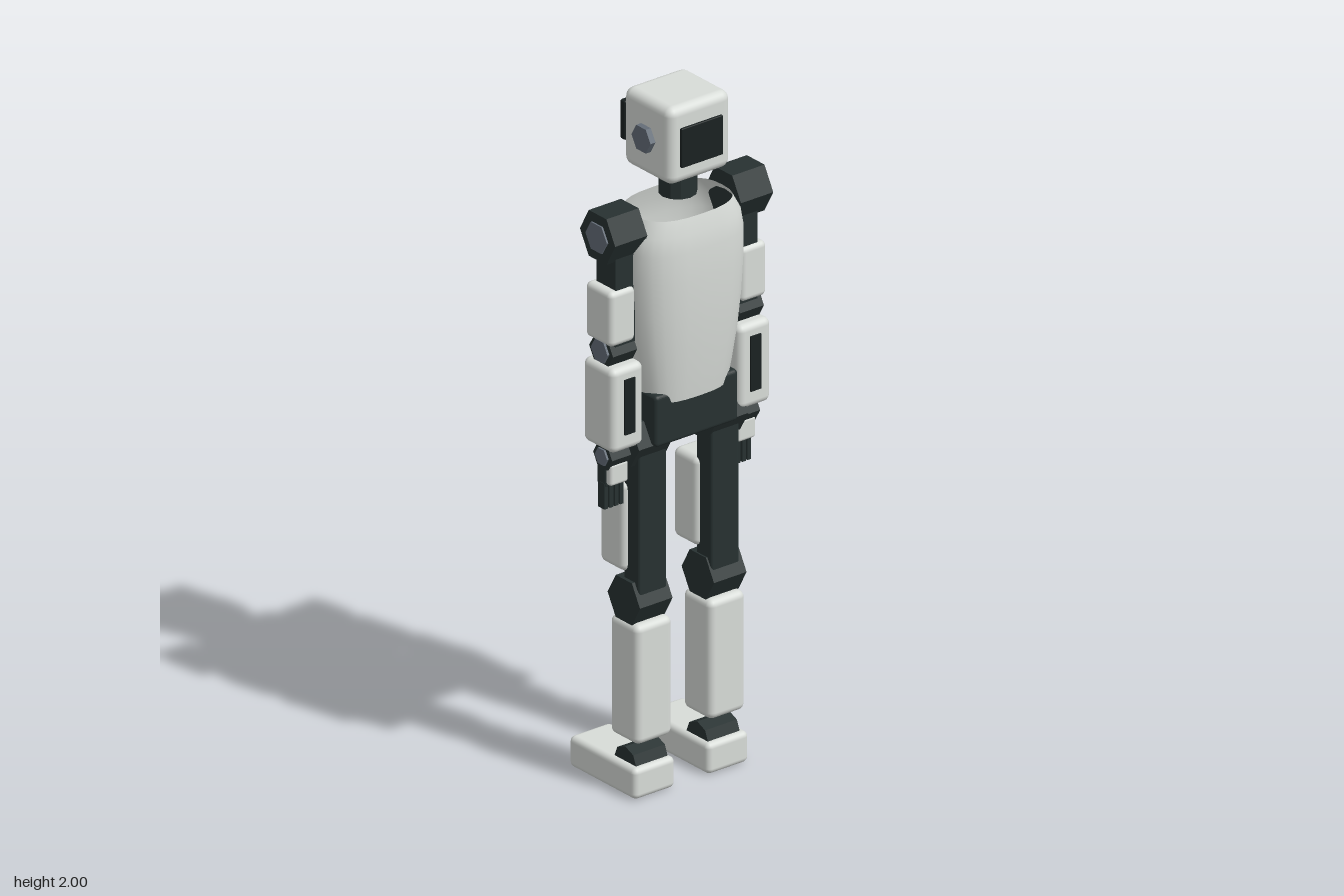
import * as THREE from 'three';
import { RoundedBoxGeometry } from 'three/addons/geometries/RoundedBoxGeometry.js';

const mat = (name, color, extra = {}) => {
  const m = new THREE.MeshStandardMaterial({ color, ...extra });
  m.name = name;
  return m;
};

export function createModel() {
  const white = mat('white shell', 0xd8dcd8, { side: THREE.DoubleSide });
  const dark = mat('dark joint', 0x273131, { flatShading: true });
  const black = mat('black panel', 0x1a2121);
  const steel = mat('blue grey cap', 0x646d78, { flatShading: true });
  const purple = mat('purple light', 0x7350b0);

  const root = new THREE.Group();
  root.name = 'robot';

  const add = (parent, name, geo, material, x = 0, y = 0, z = 0) => {
    const m = new THREE.Mesh(geo, material);
    m.name = name;
    m.position.set(x, y, z);
    parent.add(m);
    return m;
  };
  // box given by its limits on each axis, rounded when r > 0
  const box = (parent, name, material, [x0, x1], [y0, y1], [z0, z1], r = 0) => {
    const s = [x1 - x0, y1 - y0, z1 - z0];
    const geo = r ? new RoundedBoxGeometry(...s, 3, r) : new THREE.BoxGeometry(...s);
    return add(parent, name, geo, material, (x0 + x1) / 2, (y0 + y1) / 2, (z0 + z1) / 2);
  };
  // six-sided drum lying along x
  const drum = (parent, name, material, [x0, x1], y, z, r, sides = 6) => {
    const geo = new THREE.CylinderGeometry(r, r, x1 - x0, sides).rotateZ(Math.PI / 2);
    return add(parent, name, geo, material, (x0 + x1) / 2, y, z);
  };

  // head with visor, eyes, brow light and rear plate
  const head = new THREE.Group();
  head.name = 'head';
  root.add(head);
  box(head, 'headShell', white, [-0.105, 0.105], [1.775, 2], [-0.055, 0.145], 0.026);
  box(head, 'visor', black, [-0.1, 0.1], [1.84, 1.955], [-0.072, -0.05], 0.006);
  box(head, 'rearPlate', black, [-0.07, 0.07], [1.825, 1.94], [0.14, 0.152], 0.003);
  box(head, 'browLight', purple, [-0.045, 0.045], [1.95, 1.962], [-0.075, -0.066]);
  for (const s of [-1, 1]) {
    const ring = new THREE.CylinderGeometry(0.02, 0.02, 0.012, 12).rotateX(Math.PI / 2);
    add(head, 'eyeRing', ring, steel, s * 0.05, 1.9, -0.077);
    const eye = new THREE.CylinderGeometry(0.014, 0.014, 0.008, 12).rotateX(Math.PI / 2);
    add(head, 'eye', eye, purple, s * 0.05, 1.9, -0.087);
    const ear = drum(head, 'ear', steel, [-0.01, 0.01], 1.887, 0.045, 0.04);
    ear.position.x = s * 0.112;
  }
  add(root, 'neck', new THREE.CylinderGeometry(0.052, 0.052, 0.08, 12), dark, 0, 1.74, 0.048);

  // torso: open shell lofted through rounded cross-sections
  // rows: height, half width, back z, front z
  const rows = [
    [1.14, 0.135, -0.033, 0.142], [1.2, 0.147, -0.042, 0.15], [1.3, 0.165, -0.058, 0.16],
    [1.4, 0.177, -0.071, 0.167], [1.5, 0.184, -0.078, 0.17], [1.58, 0.184, -0.075, 0.169],
    [1.63, 0.175, -0.067, 0.164], [1.675, 0.15, -0.055, 0.153],
  ];
  const N = 28, pos = [], idx = [];
  const soft = (v) => Math.sign(v) * Math.abs(v) ** 0.75;
  rows.forEach(([y, w, z0, z1], j) => {
    for (let i = 0; i < N; i++) {
      const a = (i / N) * Math.PI * 2;
      pos.push(w * soft(Math.sin(a)), y, (z0 + z1) / 2 + ((z1 - z0) / 2) * soft(Math.cos(a)));
      if (j === 0) continue;
      const k = (i + 1) % N, b = (j - 1) * N, t = j * N;
      idx.push(b + i, b + k, t + k, b + i, t + k, t + i);
    }
  });
  const shell = new THREE.BufferGeometry();
  shell.setAttribute('position', new THREE.Float32BufferAttribute(pos, 3));
  shell.setIndex(idx);
  shell.computeVertexNormals();
  add(root, 'torso', shell, white);
  box(root, 'chestPanel', black, [-0.078, 0.078], [1.43, 1.595], [-0.1, -0.085], 0.004);
  box(root, 'pelvis', dark, [-0.14, 0.14], [1.02, 1.17], [-0.035, 0.13], 0.012);

  // limbs are laid out on the left (+x) and repeated on the right
  for (const s of [1, -1]) {
    const side = s > 0 ? 'left' : 'right';
    const X = (a, b) => (s > 0 ? [a, b] : [-b, -a]);
    const arm = new THREE.Group();
    arm.name = side + 'Arm';
    const leg = new THREE.Group();
    leg.name = side + 'Leg';
    root.add(arm, leg);

    // arm
    drum(arm, 'shoulder', dark, X(0.158, 0.267), 1.643, 0.043, 0.074).scale.y = 1.04;
    drum(arm, 'shoulderCap', steel, X(0.262, 0.272), 1.643, 0.043, 0.045);
    box(arm, 'upperArmCore', dark, X(0.175, 0.24), [1.33, 1.6], [0.005, 0.085]);
    box(arm, 'upperArmShell', white, X(0.178, 0.265), [1.335, 1.495], [-0.015, 0.095], 0.016);
    drum(arm, 'elbow', dark, X(0.173, 0.255), 1.308, 0.043, 0.05);
    drum(arm, 'elbowCap', steel, X(0.25, 0.262), 1.31, 0.043, 0.035);
    box(arm, 'forearm', white, X(0.16, 0.27), [1.03, 1.275], [-0.02, 0.108], 0.02);
    box(arm, 'forearmStripe', black, X(0.195, 0.23), [1.08, 1.24], [0.104, 0.113]);
    drum(arm, 'wrist', dark, X(0.175, 0.25), 1.0, 0.043, 0.04);
    drum(arm, 'wristCap', steel, X(0.245, 0.256), 1.0, 0.043, 0.026);
    box(arm, 'palm', dark, X(0.183, 0.247), [0.91, 0.99], [0.015, 0.052], 0.006);
    box(arm, 'handShell', white, X(0.184, 0.246), [0.918, 0.982], [0.048, 0.072], 0.009);
    for (let i = 0; i < 4; i++) {
      const x = 0.189 + i * 0.0175;
      box(arm, 'finger', dark, X(x - 0.006, x + 0.006), [0.845, 0.92], [0.02, 0.048]);
    }

    // leg
    drum(leg, 'hip', dark, X(0.073, 0.185), 1.023, 0.045, 0.07);
    box(leg, 'thighCore', dark, X(0.075, 0.17), [0.58, 1.0], [0.03, 0.097], 0.008);
    box(leg, 'thighShell', white, X(0.063, 0.185), [0.64, 0.9], [-0.055, 0.05], 0.02);
    drum(leg, 'knee', dark, X(0.07, 0.18), 0.56, 0.045, 0.068).scale.y = 1.04;
    box(leg, 'shin', white, X(0.062, 0.185), [0.155, 0.503], [-0.012, 0.107], 0.02);
    drum(leg, 'ankle', dark, X(0.068, 0.175), 0.085, 0.045, 0.047, 8);
    box(leg, 'foot', white, X(0.054, 0.194), [0, 0.09], [-0.171, 0.108], 0.016);
  }
  return root;
}
